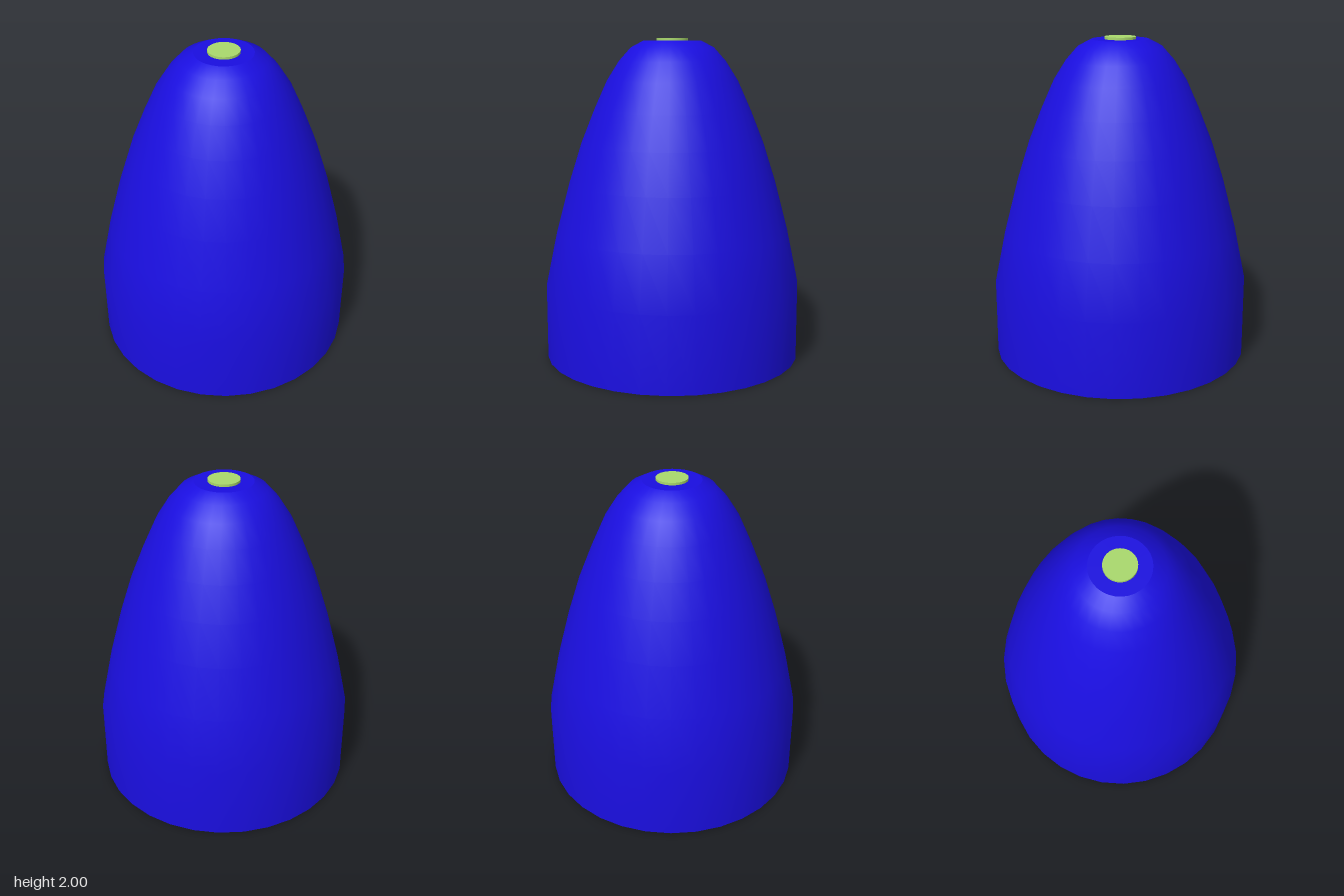
import * as THREE from 'three';

// Spin a list of [radius, height] pairs around the y axis
function lathe(name, profile, segments, material) {
  const points = profile.map(([r, y]) => new THREE.Vector2(r, y));
  const mesh = new THREE.Mesh(new THREE.LatheGeometry(points, segments), material);
  mesh.name = name;
  return mesh;
}

// Closed upright cylinder standing between two heights
function post(name, radius, y0, y1, material) {
  const mesh = new THREE.Mesh(new THREE.CylinderGeometry(radius, radius, y1 - y0, 64), material);
  mesh.position.y = (y0 + y1) / 2;
  mesh.name = name;
  return mesh;
}

export function createModel() {
  const group = new THREE.Group();
  group.name = 'shadeWithStem';
  const blue = new THREE.MeshStandardMaterial({ color: 0x1a0ee0, side: THREE.DoubleSide });
  const green = new THREE.MeshStandardMaterial({ color: 0xa9d86c });

  // Thin open-bottomed shell: straight skirt, then a rounded dome
  group.add(lathe('shell', [
    [0.8, 0], [0.8, 0.47], [0.73, 0.8], [0.648, 1.11], [0.57, 1.355], [0.488, 1.56],
    [0.407, 1.74], [0.331, 1.86], [0.257, 1.943], [0.177, 1.985],
  ], 32, blue));

  // Flat ring closing the dome around the pin
  group.add(lathe('shellTop', [[0.177, 1.985], [0.095, 1.985]], 32, blue));

  // Thick stem inside the shell, with a narrower pin through the top
  group.add(post('stem', 0.187, 0, 1.94, green));
  group.add(post('pin', 0.096, 1.94, 2, green));

  return group;
}
